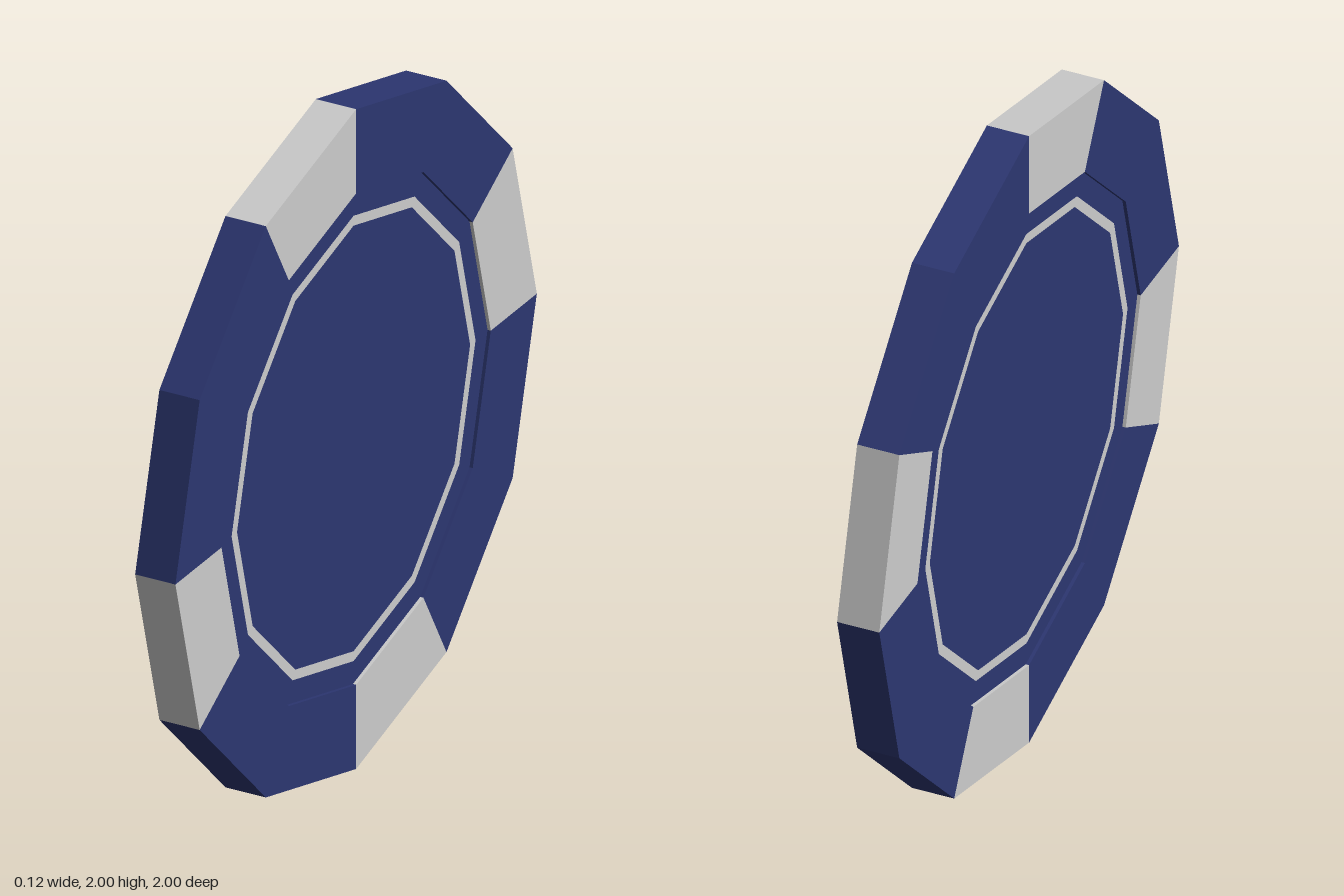
import * as THREE from 'three';

const SIDES = 12, OUTER = 1, INNER = 0.745, THICK = 0.125, RECESS = 0.01;

export function createModel() {
  const model = new THREE.Group();
  model.name = 'token';
  const blue = new THREE.MeshStandardMaterial({ color: 0x2c3671, flatShading: true });
  const grey = new THREE.MeshStandardMaterial({ color: 0xcccccc, flatShading: true });

  // Everything is built around the z axis, then turned so the faces look along x
  const chip = new THREE.Group();
  chip.name = 'chip';
  chip.rotation.y = Math.PI / 2;
  chip.position.y = 1;
  model.add(chip);

  const add = (name, geometry, material) => {
    const mesh = new THREE.Mesh(geometry, material);
    mesh.name = name;
    chip.add(mesh);
    return mesh;
  };
  const corner = (radius, i) => {
    const a = (i * Math.PI * 2) / SIDES;
    return new THREE.Vector2(radius * Math.cos(a), radius * Math.sin(a));
  };

  // Solid block of the rim from corner "start" over "count" sides
  const rimBlock = (start, count) => {
    const points = [];
    for (let i = 0; i <= count; i++) points.push(corner(OUTER, start + i));
    for (let i = count; i >= 0; i--) points.push(corner(INNER, start + i));
    return new THREE.ExtrudeGeometry(new THREE.Shape(points), { depth: THICK, bevelEnabled: false })
      .translate(0, 0, -THICK / 2);
  };

  // Rim: four light inserts, each followed by a blue stretch two sides long
  for (let i = 0; i < SIDES; i += 3) {
    add('rimInsert', rimBlock(i, 1), grey);
    add('rimSection', rimBlock(i + 1, 2), blue);
  }

  // Slightly recessed centre, with an inlaid ring on both faces
  const half = THICK / 2 - RECESS;
  for (const side of [1, -1]) {
    const face = add('centreFace', new THREE.CircleGeometry(INNER, SIDES), blue);
    const ring = add('inlayRing', new THREE.RingGeometry(0.645, 0.675, SIDES), grey);
    face.position.z = side * half;
    ring.position.z = side * (half + 0.002);
    if (side < 0) face.rotation.y = ring.rotation.y = Math.PI;
  }
  return model;
}
